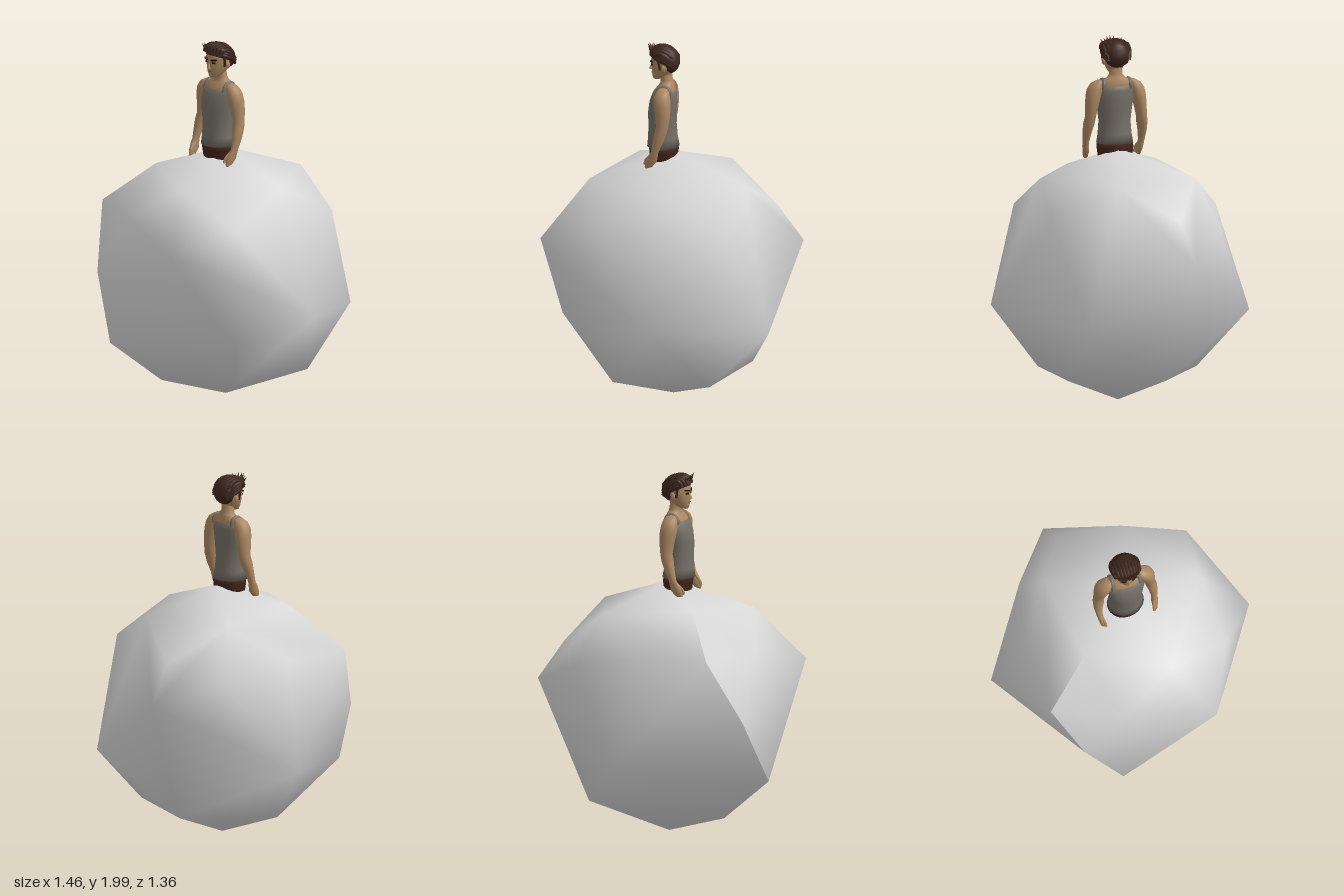
import * as THREE from 'three';
import { ConvexGeometry } from 'three/addons/geometries/ConvexGeometry.js';

const mat = (name, color) => {
  const m = new THREE.MeshStandardMaterial({ color });
  m.name = name;
  return m;
};

// Smooth skin over elliptical rings [y, radiusX, radiusZ, centreX, centreZ], bottom to top
function loft(rings, n = 20) {
  const pos = [], idx = [];
  for (const [y, rx, rz, cx, cz] of rings)
    for (let j = 0; j < n; j++) {
      const a = (j / n) * Math.PI * 2;
      pos.push(cx + rx * Math.cos(a), y, cz + rz * Math.sin(a));
    }
  for (let i = 0; i < rings.length - 1; i++)
    for (let j = 0; j < n; j++) {
      const a = i * n + j, b = i * n + (j + 1) % n;
      idx.push(a, a + n, b, b, a + n, b + n);
    }
  const g = new THREE.BufferGeometry();
  g.setAttribute('position', new THREE.Float32BufferAttribute(pos, 3));
  g.setIndex(idx);
  g.computeVertexNormals();
  return g;
}

// Boulder: convex hull with smooth normals, broken only along the seam line
function boulderGeometry() {
  const seam = [[-0.3, 1.275, 0.24], [-0.55, 1.05, 0.41], [-0.41, 0.7, 0.57], [-0.215, 0.35, 0.65], [-0.12, 0.11, 0.36]];
  const points = [
    [0, 1.385, 0], [0, 0, 0], ...seam,
    // upper ring
    [0.45, 1.24, 0], [0.14, 1.24, -0.42], [-0.36, 1.24, -0.26], [0.14, 1.24, 0.44],
    // shoulders
    [0.485, 1.065, -0.34], [0.48, 1.05, 0.35], [-0.18, 1.05, 0.56], [-0.56, 1.05, 0], [-0.18, 1.05, -0.54],
    [0.31, 0.94, 0.68], [-0.22, 0.84, -0.68], [-0.46, 0.97, -0.38],
    // belly
    [0.73, 0.56, 0], [-0.73, 0.47, -0.07], [0.357, 0.48, -0.59], [0.48, 0.4, 0.34],
    // lower ring
    [0.37, 0.16, 0.27], [0.37, 0.16, -0.265], [-0.135, 0.16, -0.415], [-0.455, 0.16, 0.01],
  ].map((p) => new THREE.Vector3(...p));
  const g = new ConvexGeometry(points);
  const P = g.attributes.position;
  const centre = new THREE.Vector3(0, 0.69, 0);
  const rel = (p) => new THREE.Vector3(...p).sub(centre);
  const split = rel(seam[1]).cross(rel(seam[4]));
  const sums = new Map(), keys = [];
  const v = [0, 1, 2].map(() => new THREE.Vector3());
  for (let f = 0; f < P.count; f += 3) {
    v.forEach((q, k) => q.fromBufferAttribute(P, f + k));
    const normal = v[1].clone().sub(v[0]).cross(v[2].clone().sub(v[0]));
    const mid = v[0].clone().add(v[1]).add(v[2]).divideScalar(3).sub(centre);
    const side = mid.dot(split) > 0;
    for (const q of v) {
      const onSeam = seam.slice(1).some((s) => q.distanceTo(new THREE.Vector3(...s)) < 0.001);
      const key = q.toArray().map((c) => c.toFixed(3)).join() + (onSeam ? side : '');
      if (!sums.has(key)) sums.set(key, new THREE.Vector3());
      sums.get(key).add(normal);
      keys.push(key);
    }
  }
  keys.forEach((key, i) => {
    const s = sums.get(key).clone().normalize();
    g.attributes.normal.setXYZ(i, s.x, s.y, s.z);
  });
  return g;
}

export function createModel() {
  const model = new THREE.Group();
  const stone = mat('stone grey', 0xd7d7d7);
  const skin = mat('skin', 0xab8761);
  const cloth = mat('grey cloth', 0x746f66);
  const leather = mat('brown trousers', 0x40231b);
  const hairMat = mat('dark brown hair', 0x3d251c);
  const dark = mat('dark features', 0x20150f);
  const lip = mat('lip', 0x7d5844);

  const add = (name, geo, material, x = 0, y = 0, z = 0, parent = model) => {
    const m = new THREE.Mesh(geo, material);
    m.name = name;
    m.position.set(x, y, z);
    parent.add(m);
    return m;
  };
  const tube = (pts, r, seg = 12, radial = 8) => new THREE.TubeGeometry(
    new THREE.CatmullRomCurve3(pts.map((p) => new THREE.Vector3(...p))), seg, r, radial);

  add('boulder', boulderGeometry(), stone);

  // Torso and clothing
  add('trousers', loft([
    [1.33, 0.095, 0.075, 0, 0.05], [1.39, 0.103, 0.08, 0, 0.052],
    [1.412, 0.1, 0.08, 0, 0.054], [1.414, 0.001, 0.001, 0, 0.054]]), leather);
  add('vest', loft([
    [1.409, 0.001, 0.001, 0, 0.056], [1.41, 0.102, 0.088, 0, 0.056], [1.46, 0.094, 0.081, 0, 0.058],
    [1.53, 0.088, 0.077, 0, 0.06], [1.6, 0.097, 0.079, 0, 0.06], [1.66, 0.107, 0.075, 0, 0.056],
    [1.7, 0.106, 0.067, 0, 0.05], [1.725, 0.1, 0.058, 0, 0.046], [1.727, 0.07, 0.045, 0, 0.045]]), cloth);
  add('chest', loft([
    [1.64, 0.095, 0.06, 0, 0.052], [1.7, 0.1, 0.06, 0, 0.048], [1.735, 0.1, 0.053, 0, 0.043],
    [1.757, 0.083, 0.042, 0, 0.036], [1.772, 0.052, 0.035, 0, 0.034], [1.79, 0.037, 0.034, 0, 0.038],
    [1.84, 0.036, 0.036, 0, 0.045]]), skin);

  for (const s of [-1, 1]) {
    // Shoulder strap and arm
    add('vestStrap', tube([[s * 0.078, 1.71, 0.084], [s * 0.076, 1.738, 0.073], [s * 0.073, 1.757, 0.052],
      [s * 0.073, 1.757, 0.024], [s * 0.076, 1.738, 0.009], [s * 0.078, 1.71, 0.006]], 0.0125, 16), cloth);
    add('arm', loft([
      [1.318, 0.002, 0.003, s * 0.15, 0.125], [1.328, 0.012, 0.02, s * 0.15, 0.112],
      [1.36, 0.016, 0.032, s * 0.153, 0.096], [1.39, 0.017, 0.027, s * 0.157, 0.086],
      [1.415, 0.018, 0.021, s * 0.159, 0.076], [1.47, 0.025, 0.028, s * 0.158, 0.058],
      [1.52, 0.031, 0.034, s * 0.152, 0.045], [1.56, 0.03, 0.034, s * 0.146, 0.036],
      [1.62, 0.036, 0.042, s * 0.138, 0.036], [1.67, 0.042, 0.047, s * 0.129, 0.04],
      [1.71, 0.044, 0.046, s * 0.119, 0.043], [1.74, 0.037, 0.038, s * 0.106, 0.043],
      [1.757, 0.02, 0.024, s * 0.092, 0.042], [1.763, 0.002, 0.002, s * 0.086, 0.042]]), skin);
    add('thumb', tube([[s * 0.15, 1.395, 0.098], [s * 0.141, 1.365, 0.126], [s * 0.139, 1.338, 0.134]], 0.008), skin);
  }

  // Head and face
  const head = new THREE.Group();
  head.name = 'head';
  model.add(head);
  const part = (name, geo, material, x, y, z) => add(name, geo, material, x, y, z, head);
  part('face', loft([
    [1.786, 0.004, 0.004, 0, 0.092], [1.79, 0.02, 0.02, 0, 0.09], [1.806, 0.036, 0.046, 0, 0.07],
    [1.835, 0.053, 0.061, 0, 0.058], [1.87, 0.065, 0.07, 0, 0.05], [1.91, 0.069, 0.073, 0, 0.048],
    [1.945, 0.055, 0.06, 0, 0.048], [1.965, 0.01, 0.01, 0, 0.048]]), skin);
  const nose = part('nose', new THREE.ConeGeometry(0.011, 0.04, 8), skin, 0, 1.862, 0.121);
  nose.rotation.x = -0.15;
  part('mouth', new THREE.BoxGeometry(0.026, 0.005, 0.008), lip, 0, 1.826, 0.116);
  for (const s of [-1, 1]) {
    const eye = part('eye', new THREE.BoxGeometry(0.02, 0.009, 0.008), dark, s * 0.029, 1.876, 0.113);
    eye.rotation.y = s * 0.42;
    const brow = part('eyebrow', new THREE.BoxGeometry(0.034, 0.008, 0.009), dark, s * 0.031, 1.892, 0.115);
    brow.rotation.set(0, s * 0.42, s * 0.12);
    const ear = part('ear', new THREE.SphereGeometry(0.017, 10, 8), skin, s * 0.068, 1.862, 0.045);
    ear.scale.set(0.5, 1.2, 0.8);
    // Side locks swept back over the ears
    for (let k = 0; k < 3; k++)
      part('sideLock', tube([[s * 0.06, 1.925 + k * 0.014, 0.088], [s * 0.073, 1.915 + k * 0.014, 0.06],
        [s * 0.073, 1.895 + k * 0.012, 0.02], [s * 0.056, 1.865 + k * 0.012, -0.015]], 0.011, 12, 6), hairMat);
    part('sideburn', tube([[s * 0.064, 1.925, 0.08], [s * 0.068, 1.89, 0.068], [s * 0.063, 1.855, 0.064]], 0.007, 8, 6), hairMat);
  }

  // Hair: tilted cap covered with locks combed from brow to nape
  const cap = part('hairCap', new THREE.SphereGeometry(0.074, 24, 14, 0, Math.PI * 2, 0, Math.PI * 0.56), hairMat, 0, 1.904, 0.044);
  cap.scale.set(1, 0.98, 1.06);
  cap.rotation.x = -0.36;
  part('hairBack', loft([
    [1.832, 0.03, 0.018, 0, 0.012], [1.85, 0.056, 0.036, 0, 0.012], [1.88, 0.069, 0.048, 0, 0.012],
    [1.92, 0.07, 0.052, 0, 0.016], [1.95, 0.05, 0.04, 0, 0.025]]), hairMat);
  for (let i = -4; i <= 4; i++) {
    const x = i * 0.0165, w = Math.sqrt(1 - (x / 0.082) ** 2);
    const pts = [];
    for (let k = 0; k <= 6; k++) {
      const a = 0.08 + (k / 6) * 3.35;
      pts.push([x * (1 + 0.08 * Math.sin(a)), 1.91 + 0.06 * w * Math.sin(a) + 0.012 * Math.cos(a),
        0.05 + 0.073 * w * Math.cos(a)]);
    }
    part('hairLock', tube(pts, 0.0115, 18, 6), hairMat);
  }
  // Upswept fringe
  for (let i = -3; i <= 3; i++) {
    const tuft = part('fringeTuft', new THREE.ConeGeometry(0.013, i % 2 ? 0.068 : 0.056, 6), hairMat,
      i * 0.016, 1.962 - Math.abs(i) * 0.005, 0.13 - Math.abs(i) * 0.007);
    tuft.rotation.set(0.42, 0, -i * 0.14);
  }
  return model;
}
